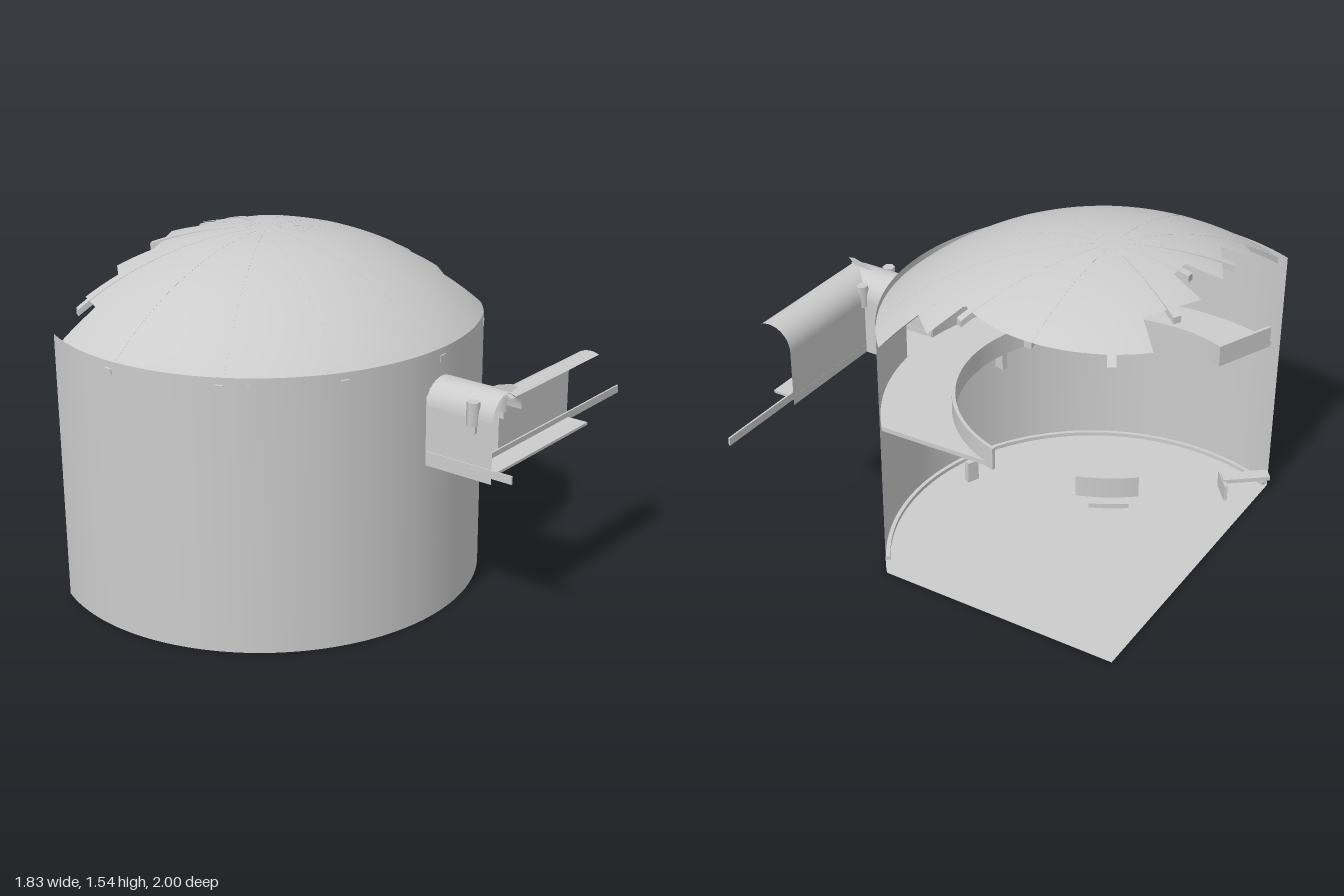
import * as THREE from 'three';

const CX = -0.46, CZ = 0.05, R = 0.95, DOME_R = 1.405, TOP = 1.54;
const rad = THREE.MathUtils.degToRad;
const mat = new THREE.MeshStandardMaterial({ color: 0xcccccc, side: THREE.DoubleSide });
const domeY = (r) => TOP - DOME_R + Math.sqrt(DOME_R * DOME_R - r * r);

export function createModel() {
  const root = new THREE.Group();

  function add(name, geo, x = 0, y = 0, z = 0, ry = 0) {
    const m = new THREE.Mesh(geo, mat);
    m.name = name;
    m.position.set(x, y, z);
    m.rotation.y = ry;
    root.add(m);
  }
  const box = (name, w, h, d, x, y, z, ry = 0) => add(name, new THREE.BoxGeometry(w, h, d), x, y, z, ry);

  // Curved upright sheet around the tower axis; angles go from +x towards +z
  function curvedWall(name, r, a0, a1, y0, y1) {
    const n = Math.max(1, Math.round((a1 - a0) / 2));
    add(name, new THREE.CylinderGeometry(r, r, y1 - y0, n, 1, true, rad(90 - a1), rad(a1 - a0)),
      CX, (y0 + y1) / 2, CZ);
  }
  // Flat ring sector with thickness; inner and outer edge may start at different angles
  function ringSlab(name, r0, r1, a0, a1, y0, y1, a0Inner = a0) {
    const s = new THREE.Shape();
    s.absarc(0, 0, r1, rad(a0), rad(a1), false);
    s.absarc(0, 0, r0, rad(a1), rad(a0Inner), true);
    const g = new THREE.ExtrudeGeometry(s, { depth: y1 - y0, bevelEnabled: false, curveSegments: 48 });
    g.rotateX(Math.PI / 2);
    add(name, g, CX, y1, CZ);
  }
  // Thin sheet: a profile in xy swept along z
  function sheet(pts, length) {
    const g = new THREE.PlaneGeometry(1, 1, pts.length - 1, 1);
    const p = g.attributes.position;
    for (let i = 0; i < p.count; i++) {
      const [x, y] = pts[i % pts.length];
      p.setXYZ(i, x, y, i < pts.length ? 0 : length);
    }
    g.computeVertexNormals();
    return g;
  }

  // Floor: disc cut off by two straight sides
  const floor = new THREE.Shape();
  floor.moveTo(-0.87 - CX, -0.58 - CZ);
  floor.lineTo(R * Math.cos(rad(-41.5)), -0.58 - CZ);
  floor.absarc(0, 0, R, rad(-41.5), rad(115.6), false);
  floor.closePath();
  add('floor', new THREE.ShapeGeometry(floor, 64).rotateX(Math.PI / 2), CX, 0.002, CZ);

  // Tower wall with an arched doorway
  curvedWall('towerWall', R, -36.1, -6, 0, 1.2);
  curvedWall('towerWall', R, 6, 115.6, 0, 1.2);
  curvedWall('wallBelowDoor', R, -6, 6, 0, 0.74);
  for (let i = 0; i < 12; i++) {
    const a = -6 + i, u = (a + 0.5) / 6;
    curvedWall('wallAboveDoor', R, a, a + 1, 0.98 + 0.1 * Math.sqrt(1 - u * u), 1.2);
  }
  ringSlab('floorCurb', 0.93, 0.948, -36, 115, 0, 0.02);

  // Dome outline: intact rim, torn edge, smooth broken arc, torn edge
  const edge = [];
  const arc = (r, a0, a1, n) => {
    for (let i = 0; i <= n; i++) {
      const a = rad(a0 + (a1 - a0) * i / n);
      edge.push([r * Math.cos(a), r * Math.sin(a)]);
    }
  };
  arc(R, -44.6, 112.2, 80);
  edge.push([-0.3, 0.72], [-0.43, 0.65], [-0.33, 0.55], [-0.44, 0.45], [-0.33, 0.33], [-0.46, 0.09],
    [-0.31, 0.05], [-0.31, -0.05], [-0.46, -0.1], [-0.33, -0.34], [-0.44, -0.45]);
  arc(0.63, 226, 303.5, 30);
  edge.push([0.36, -0.53], [0.45, -0.65], [0.56, -0.55], edge[0]);

  const RINGS = 32, pos = [], nor = [], idx = [];
  edge.forEach(([ex, ez], i) => {
    for (let j = 0; j <= RINGS; j++) {
      const t = j / RINGS, x = ex * t, z = ez * t, y = domeY(Math.hypot(x, z));
      pos.push(x, y, z);
      nor.push(x / DOME_R, (y - TOP + DOME_R) / DOME_R, z / DOME_R);
      if (i && j) {
        const b = i * (RINGS + 1) + j, a = b - RINGS - 1;
        idx.push(a - 1, b, a, a - 1, b - 1, b);
      }
    }
  });
  const dome = new THREE.BufferGeometry();
  dome.setAttribute('position', new THREE.Float32BufferAttribute(pos, 3));
  dome.setAttribute('normal', new THREE.Float32BufferAttribute(nor, 3));
  dome.setIndex(idx);
  add('dome', dome, CX, 0, CZ);

  // Distance from the axis to the dome outline along an angle
  function edgeRadius(a) {
    const c = Math.cos(a), s = Math.sin(a);
    for (let i = 1; i < edge.length; i++) {
      const [px, pz] = edge[i - 1], [qx, qz] = edge[i];
      const p = c * pz - s * px, q = c * qz - s * qx;
      if (p <= 0 && q > 0) {
        const t = p / (p - q), r = c * (px + (qx - px) * t) + s * (pz + (qz - pz) * t);
        if (r > 0) return r;
      }
    }
    return R;
  }
  // Ribs under the dome, snapped off a little beyond the torn edge
  for (let k = 0; k < 12; k++) {
    const a = rad(k * 30), sin = Math.sin(a);
    const end = Math.min(edgeRadius(a) + 0.05, 0.953, sin < -0.1 ? -0.63 / sin : 1);
    const s = new THREE.Shape(), n = 32;
    for (let i = 0; i <= 2 * n + 1; i++) {
      const low = i > n, r = 0.06 + (end - 0.06) * (low ? 2 * n + 1 - i : i) / n;
      const y = domeY(r) + (low ? -0.028 : 0.0005);
      if (i) s.lineTo(r, y); else s.moveTo(r, y);
    }
    const g = new THREE.ExtrudeGeometry(s, { depth: 0.034, bevelEnabled: false });
    g.translate(0, 0, -0.017);
    add('domeRib', g, CX, 0, CZ, -a);
  }
  add('ribHub', new THREE.CylinderGeometry(0.09, 0.09, 0.025, 24), CX, TOP - 0.018, CZ);

  // Balcony with parapet, closed end and brackets
  ringSlab('balcony', 0.63, 0.945, -41.5, 112.5, 0.74, 0.76, -75);
  ringSlab('parapet', 0.63, 0.645, -75, 112.5, 0.74, 0.84);
  const ea = rad(112.5);
  box('parapetEnd', 0.3, 0.1, 0.015, CX + 0.78 * Math.cos(ea), 0.79, CZ + 0.78 * Math.sin(ea), -ea);
  for (const d of [-66, -24, 17, 65]) {
    const a = rad(d);
    box('balconyBracket', 0.05, 0.09, 0.025, CX + 0.67 * Math.cos(a), 0.695, CZ + 0.67 * Math.sin(a), -a);
  }
  // Loose balcony fragment
  ringSlab('fragmentParapet', 0.63, 0.645, 229, 251, 0.75, 0.84);
  ringSlab('fragmentSlab', 0.59, 0.69, 233, 246, 0.73, 0.75);

  // Fallen beam on the floor
  box('fallenBeam', 0.22, 0.02, 0.06, -0.8, 0.08, 0.81, 0.68);
  box('beamProp', 0.015, 0.08, 0.13, -0.72, 0.042, 0.74, 0.68);

  // Outer passage: arched tunnel from the door, turning towards the back
  const arch = (a0, a1) => Array.from({ length: 17 }, (_, i) => {
    const a = rad(a0 + (a1 - a0) * i / 16);
    return [0.102 * Math.cos(a), 0.978 + 0.102 * Math.sin(a)];
  });
  const side = (x) => [[x, 0.715], [x, 0.978]];
  add('tunnelVault', sheet(arch(0, 180), 0.325), 0.485, 0, 0.05, Math.PI / 2);
  add('tunnelFrontWall', sheet(side(-0.102), 0.325), 0.485, 0, 0.05, Math.PI / 2);
  add('tunnelBackWall', sheet(side(0.102), 0.22), 0.485, 0, 0.05, Math.PI / 2);
  add('sideTunnelVault', sheet(arch(180, 66), 0.63), 0.807, 0, -0.58);
  add('sideTunnelWall', sheet(side(-0.102), 0.53), 0.807, 0, -0.58);
  box('tunnelFloor', 0.325, 0.012, 0.2, 0.647, 0.75, 0.05);
  box('sideTunnelFloor', 0.105, 0.012, 0.53, 0.757, 0.75, -0.315);
  box('longRail', 0.008, 0.035, 1.155, 0.709, 0.762, -0.4225);
  box('frontRail', 0.42, 0.035, 0.008, 0.7, 0.762, 0.154);

  // Column heads and a torn fin at the open end
  for (const z of [-0.052, 0.152]) {
    add('columnHead', new THREE.CylinderGeometry(0.028, 0.028, 0.1, 6), 0.715, 1.0, z);
    box('columnStub', 0.03, 0.05, 0.03, 0.72, 0.945, z);
  }
  const fin = new THREE.Shape([[0.7, 1.04], [0.71, 1.075], [0.76, 1.1], [0.82, 1.115], [0.85, 1.11],
    [0.81, 1.075], [0.8, 1.05], [0.77, 1.06]].map(([x, y]) => new THREE.Vector2(x, y)));
  add('tornFin', new THREE.ShapeGeometry(fin), 0, 0, 0.04);
  box('tornBar', 0.05, 0.015, 0.02, 0.83, 1.065, 0.06, -0.6);

  return root;
}
